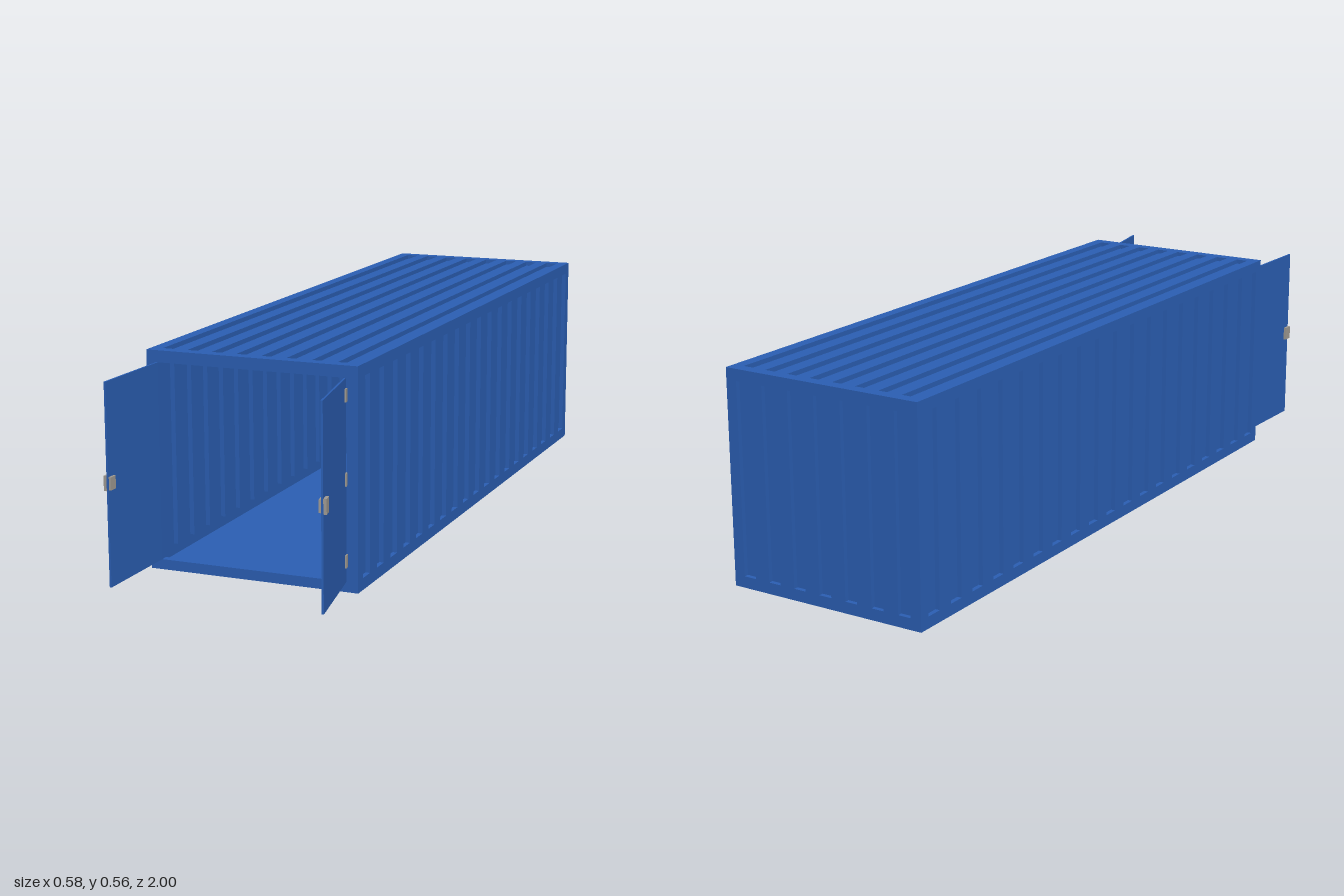
import * as THREE from 'three';
import { mergeGeometries } from 'three/addons/utils/BufferGeometryUtils.js';

const blue = new THREE.MeshStandardMaterial({ color: 0x2b5fb4, side: THREE.DoubleSide });
blue.name = 'container blue';
const grey = new THREE.MeshStandardMaterial({ color: 0xa09b93 });
grey.name = 'hardware grey';

const X0 = -0.293, X1 = 0.266, H = 0.558, Z0 = -1, Z1 = 0.75;
const W = X1 - X0, L = Z1 - Z0, CX = (X0 + X1) / 2, CZ = (Z0 + Z1) / 2;
const RIM = 0.03, DEPTH = 0.012;

function rectPath(path, x, y, w, h) {
  path.moveTo(x, y);
  path.lineTo(x + w, y);
  path.lineTo(x + w, y + h);
  path.lineTo(x, y + h);
  path.closePath();
  return path;
}

// Box without its outer face: the pressed-in channel of one groove
function channel(w, h, d) {
  const g = new THREE.BoxGeometry(w, h, d);
  const idx = Array.from(g.index.array);
  idx.splice(24, 6);
  g.setIndex(idx);
  g.clearGroups();
  return g;
}

// Sheet facing +z with n evenly spaced vertical grooves
function corrugated(w, h, n, ratio = 1) {
  const shape = rectPath(new THREE.Shape(), -w / 2, -h / 2, w, h);
  const gw = (w - 2 * RIM) / (n + (n - 1) * ratio);
  const gh = h - 2 * RIM;
  const parts = [];
  for (let i = 0; i < n; i++) {
    const x = -w / 2 + RIM + i * gw * (1 + ratio);
    shape.holes.push(rectPath(new THREE.Path(), x, -gh / 2, gw, gh));
    parts.push(channel(gw, gh, DEPTH).translate(x + gw / 2, 0, -DEPTH / 2));
  }
  return mergeGeometries([new THREE.ShapeGeometry(shape), ...parts]);
}

export function createModel() {
  const model = new THREE.Group();
  model.name = 'cargoContainer';

  function add(parent, name, geometry, material, x, y, z) {
    const mesh = new THREE.Mesh(geometry, material);
    mesh.name = name;
    mesh.position.set(x, y, z);
    parent.add(mesh);
    return mesh;
  }

  // Corrugated shell
  const side = corrugated(L, H, 19);
  add(model, 'leftWall', side, blue, X1, H / 2, CZ).rotation.y = Math.PI / 2;
  add(model, 'rightWall', side, blue, X0, H / 2, CZ).rotation.y = -Math.PI / 2;
  add(model, 'backWall', corrugated(W, H, 7, 1.2), blue, CX, H / 2, Z0).rotation.y = Math.PI;
  add(model, 'roof', corrugated(W, L, 8), blue, CX, H, CZ).rotation.x = -Math.PI / 2;

  // Flat floor
  add(model, 'floor', new THREE.PlaneGeometry(W, L), blue, CX, 0, CZ).rotation.x = Math.PI / 2;

  // Door frame around the open end
  const frame = rectPath(new THREE.Shape(), X0, 0, W, H);
  frame.holes.push(rectPath(new THREE.Path(), X0 + RIM, 0.026, W - 2 * RIM, 0.502));
  add(model, 'doorFrame', new THREE.ExtrudeGeometry(frame, { depth: 0.02, bevelEnabled: false }),
    blue, 0, 0, Z1 - 0.02);

  // Open doors with hinges and latch handles
  const doors = [
    { name: 'leftDoor', x: 0.233, angle: 0.185, s: 1 },
    { name: 'rightDoor', x: -0.265, angle: -0.02, s: -1 },
  ];
  for (const { name, x, angle, s } of doors) {
    const door = new THREE.Group();
    door.name = name;
    door.position.set(x, 0, Z1);
    door.rotation.y = angle;
    model.add(door);
    add(door, 'doorPanel', new THREE.BoxGeometry(0.005, 0.502, 0.25), blue, 0, 0.277, 0.125);
    for (const y of [0.08, 0.283, 0.488]) {
      add(door, 'hinge', new THREE.BoxGeometry(0.004, 0.032, 0.014), grey, s * 0.004, y, 0.008);
    }
    add(door, 'outerHandle', new THREE.BoxGeometry(0.008, 0.037, 0.026), grey, s * 0.0065, 0.282, 0.237);
    add(door, 'innerHandle', new THREE.BoxGeometry(0.006, 0.032, 0.022), grey, -s * 0.0055, 0.282, 0.237);
  }
  return model;
}
